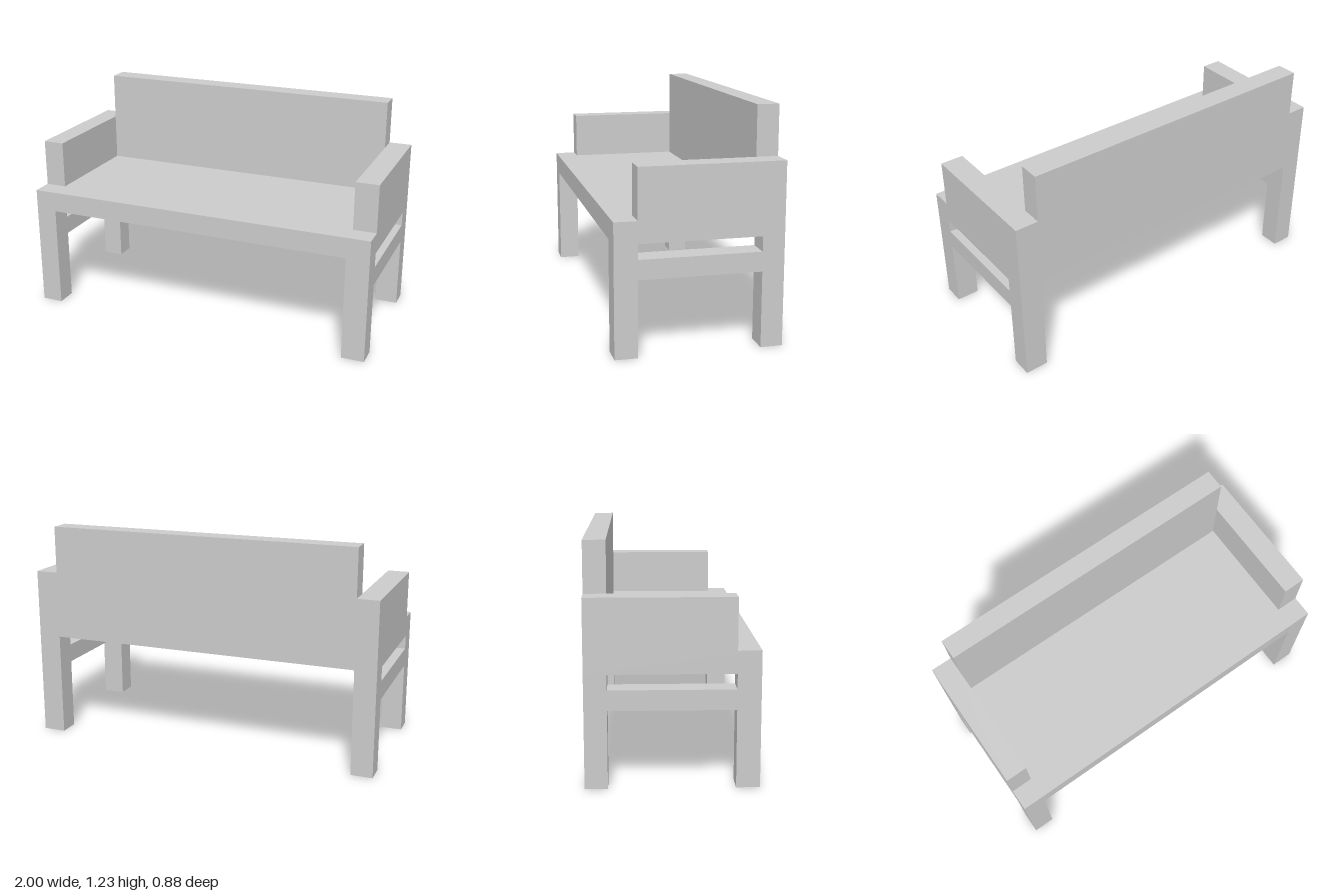
import * as THREE from 'three';

const material = new THREE.MeshStandardMaterial({ color: 0xcccccc, flatShading: true });
const hollowMaterial = new THREE.MeshStandardMaterial({
  color: 0xcccccc, flatShading: true, side: THREE.DoubleSide,
});

// Main levels and depths
const SEAT_BOTTOM = 0.585, SEAT_TOP = 0.70, ARM_TOP = 0.965, BACK_TOP = 1.23;
const DEPTH = 0.438, INNER_FRONT = 0.318, INNER_BACK = -0.322;
const INNER_LEFT = 0.872, INNER_RIGHT = -0.88;

// Box given by its extents on each axis
function block(name, [x0, x1], [y0, y1], [z0, z1]) {
  const geometry = new THREE.BoxGeometry(x1 - x0, y1 - y0, z1 - z0);
  geometry.translate((x0 + x1) / 2, (y0 + y1) / 2, (z0 + z1) / 2);
  const mesh = new THREE.Mesh(geometry, material);
  mesh.name = name;
  return mesh;
}

// Square tube: a box without its top and bottom faces
function hollowLeg(name, xs, zs) {
  const leg = block(name, xs, [0, SEAT_BOTTOM], zs);
  const index = Array.from(leg.geometry.index.array);
  leg.geometry.setIndex([...index.slice(0, 12), ...index.slice(24)]);
  leg.geometry.clearGroups();
  leg.material = hollowMaterial;
  return leg;
}

export function createModel() {
  const bench = new THREE.Group();
  bench.name = 'bench';

  // Seat slab and backrest
  bench.add(block('seat', [-1, 1], [SEAT_BOTTOM, SEAT_TOP], [-DEPTH, DEPTH]));
  bench.add(block('backrest', [INNER_RIGHT, INNER_LEFT], [SEAT_TOP, BACK_TOP], [-DEPTH, INNER_BACK]));

  // Each end: armrest, two legs and the rail joining them
  const ends = { left: [INNER_LEFT, 1], right: [-1, INNER_RIGHT] };
  for (const [side, xs] of Object.entries(ends)) {
    bench.add(block(`${side}Armrest`, xs, [SEAT_TOP, ARM_TOP], [-DEPTH, INNER_FRONT]));
    bench.add(hollowLeg(`${side}FrontLeg`, xs, [INNER_FRONT, DEPTH]));
    bench.add(hollowLeg(`${side}BackLeg`, xs, [-DEPTH, INNER_BACK]));
    bench.add(block(`${side}Rail`, xs, [0.402, 0.506], [INNER_BACK, INNER_FRONT]));
  }
  return bench;
}
